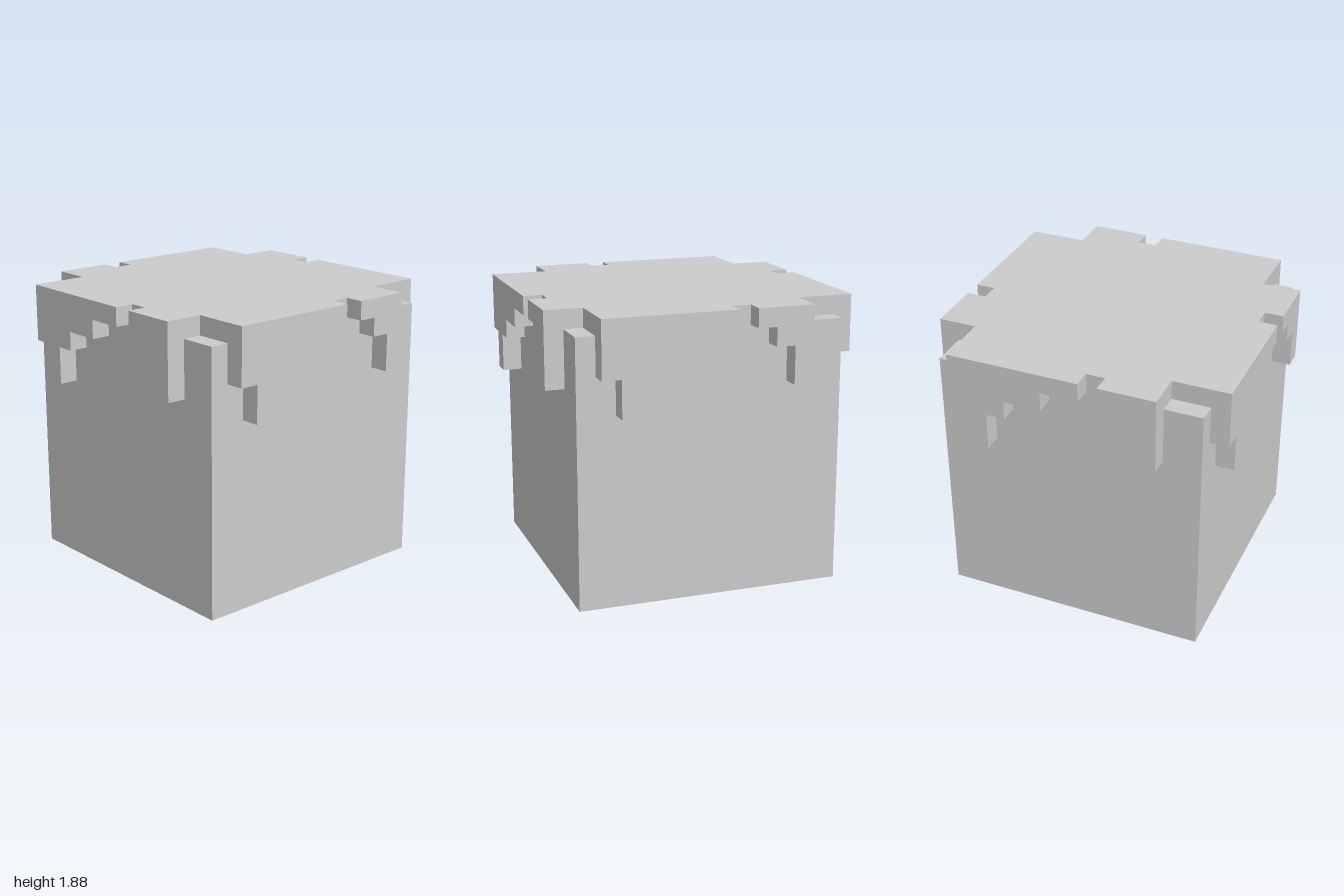
import * as THREE from 'three';

const BODY = 0.875, RIM = 1, BODY_TOP = 1.75, LIP = 0.125;

const extrude = (points, depth) => new THREE.ExtrudeGeometry(
  new THREE.Shape(points.map(([x, y]) => new THREE.Vector2(x, y))),
  { depth, bevelEnabled: false });

export function createModel() {
  const model = new THREE.Group();
  model.name = 'drippingBlock';
  const material = new THREE.MeshStandardMaterial({ color: 0xcccccc, flatShading: true });
  const add = (name, geometry, parent = model) => {
    const mesh = new THREE.Mesh(geometry, material);
    mesh.name = name;
    parent.add(mesh);
    return mesh;
  };

  // Solid cube body
  add('body', new THREE.BoxGeometry(2 * BODY, BODY_TOP, 2 * BODY).translate(0, BODY_TOP / 2, 0));

  // Cap slab: one side's outline (x, z), with gap and corner notch, turned four times
  const side = [[-0.75, RIM], [0.125, RIM], [0.125, BODY], [0.25, BODY],
    [0.25, RIM], [0.625, RIM], [0.625, 0.75]];
  const outline = [];
  let turned = side;
  for (let i = 0; i < 4; i++) {
    outline.push(...turned.map(([x, z]) => [x, -z]));
    turned = turned.map(([x, z]) => [z, -x]);
  }
  add('cap', extrude(outline, LIP).rotateX(-Math.PI / 2).translate(0, BODY_TOP, 0));

  // Stepped drips hanging under the cap, the same on all four sides
  const longDrip = extrude([[-0.75, 1.75], [-0.75, 1.5], [-0.625, 1.5], [-0.625, 1.25], [-0.5, 1.25],
    [-0.5, 1.5], [-0.375, 1.5], [-0.375, 1.625], [-0.125, 1.625], [-0.125, 1.75]], LIP).translate(0, 0, BODY);
  const shortDrip = extrude([[0.375, 1.75], [0.375, 1.625], [0.5, 1.625], [0.5, 1.375],
    [0.625, 1.375], [0.625, 1.75]], LIP).translate(0, 0, BODY);
  ['front', 'left', 'back', 'right'].forEach((name, i) => {
    const drips = new THREE.Group();
    drips.name = name + 'Drips';
    drips.rotation.y = i * Math.PI / 2;
    add('longDrip', longDrip, drips);
    add('shortDrip', shortDrip, drips);
    model.add(drips);
  });

  return model;
}
